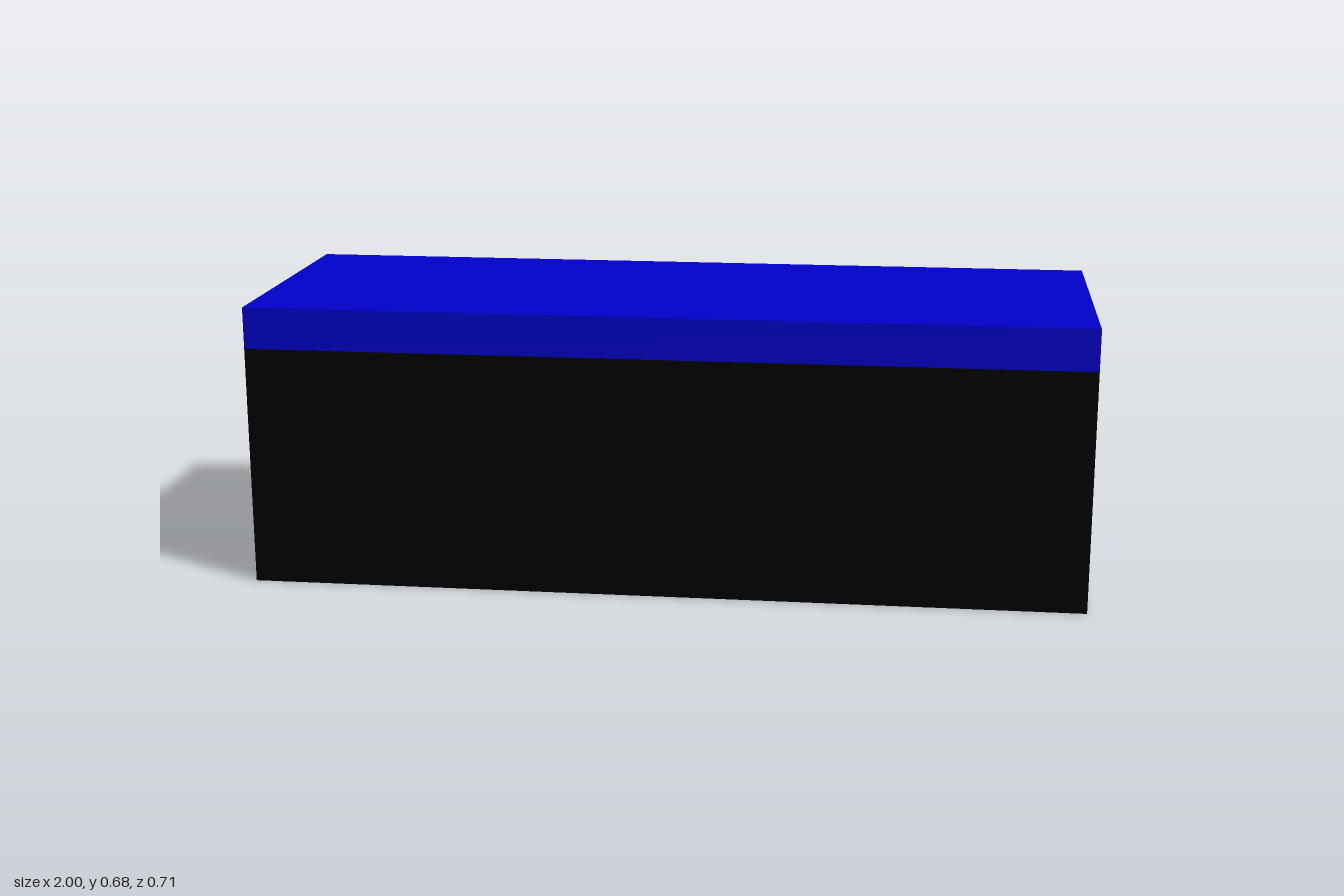
import * as THREE from 'three';

const black = new THREE.MeshStandardMaterial({ color: 0x000000 });
const blue = new THREE.MeshStandardMaterial({ color: 0x0000cc });

const W = 2, D = 0.712, H = 0.58, LID = 0.1, T = 0.015, GAP = 0.003;

// Rounded rectangle centred on (cx, cy)
function roundRect(Type, cx, cy, w, h, r) {
  const p = new Type(), x = cx - w / 2, y = cy - h / 2;
  p.moveTo(x + r, y);
  p.lineTo(x + w - r, y);
  p.absarc(x + w - r, y + r, r, -Math.PI / 2, 0);
  p.lineTo(x + w, y + h - r);
  p.absarc(x + w - r, y + h - r, r, 0, Math.PI / 2);
  p.lineTo(x + r, y + h);
  p.absarc(x + r, y + h - r, r, Math.PI / 2, Math.PI);
  p.lineTo(x, y + r);
  p.absarc(x + r, y + r, r, Math.PI, Math.PI * 1.5);
  return p;
}

function add(parent, name, geometry, material = black) {
  const mesh = new THREE.Mesh(geometry, material);
  mesh.name = name;
  parent.add(mesh);
  return mesh;
}

const extrude = (shapes, depth) =>
  new THREE.ExtrudeGeometry(shapes, { depth, bevelEnabled: false, curveSegments: 6 });

// Sheet in the xy plane with open slots and flush inserts set in narrow seams
function sheet(name, cx, cy, w, h, slots, inserts) {
  const group = new THREE.Group();
  group.name = name;
  const outline = new THREE.Shape([
    new THREE.Vector2(cx - w / 2, cy - h / 2), new THREE.Vector2(cx + w / 2, cy - h / 2),
    new THREE.Vector2(cx + w / 2, cy + h / 2), new THREE.Vector2(cx - w / 2, cy + h / 2)
  ]);
  for (const s of [...slots, ...inserts]) outline.holes.push(roundRect(THREE.Path, ...s));
  add(group, name + 'Sheet', extrude(outline, T));
  for (const [x, y, iw, ih, r] of inserts) {
    const shape = roundRect(THREE.Shape, x, y, iw - 2 * GAP, ih - 2 * GAP, r - GAP / 2);
    add(group, name + 'Insert', extrude(shape, T));
    // Backing closes the seam from inside
    add(group, name + 'Backing', new THREE.BoxGeometry(iw + 0.02, ih + 0.02, 0.004))
      .position.set(x, y, -0.002);
  }
  return group;
}

export function createModel() {
  const model = new THREE.Group();
  model.name = 'storageBench';

  // Ventilation slots: four columns of three
  const slots = [];
  for (const x of [-0.815, -0.235, 0.135, 0.815])
    for (const y of [0.485, 0.515, 0.545]) slots.push([x, y, 0.11, 0.012, 0.005]);

  const front = sheet('frontWall', 0, H / 2, W, H, slots, []);
  front.position.z = D / 2 - T;

  // Back wall carries two access panels
  const back = sheet('backWall', 0, H / 2, W, H, slots,
    [[-0.475, 0.295, 0.8, 0.29, 0.01], [0.53, 0.295, 0.71, 0.29, 0.01]]);
  back.rotation.y = Math.PI;
  back.position.z = -D / 2 + T;

  // Floor with two rounded hatches
  const floor = sheet('floor', 0, 0, W - 2 * T, D - 2 * T, [],
    [-1, 1].map(s => [s * 0.52, 0, 0.76, 0.47, 0.04]));
  floor.rotation.x = Math.PI / 2;
  floor.position.y = T;
  model.add(front, back, floor);

  // Side walls
  for (const s of [-1, 1]) {
    add(model, s > 0 ? 'leftWall' : 'rightWall', new THREE.BoxGeometry(T, H, D - 2 * T))
      .position.set(s * (W - T) / 2, H / 2, 0);
  }

  // Inner rails above and below the middle slots
  for (const s of [-1, 1]) for (const y of [0.485, 0.545]) {
    add(model, 'innerRail', new THREE.BoxGeometry(W - 2 * T, 0.022, 0.02))
      .position.set(0, y, s * (D / 2 - 0.06));
  }

  // Seat cushion
  add(model, 'cushion', new THREE.BoxGeometry(W, LID, D), blue).position.y = H + LID / 2;

  return model;
}
